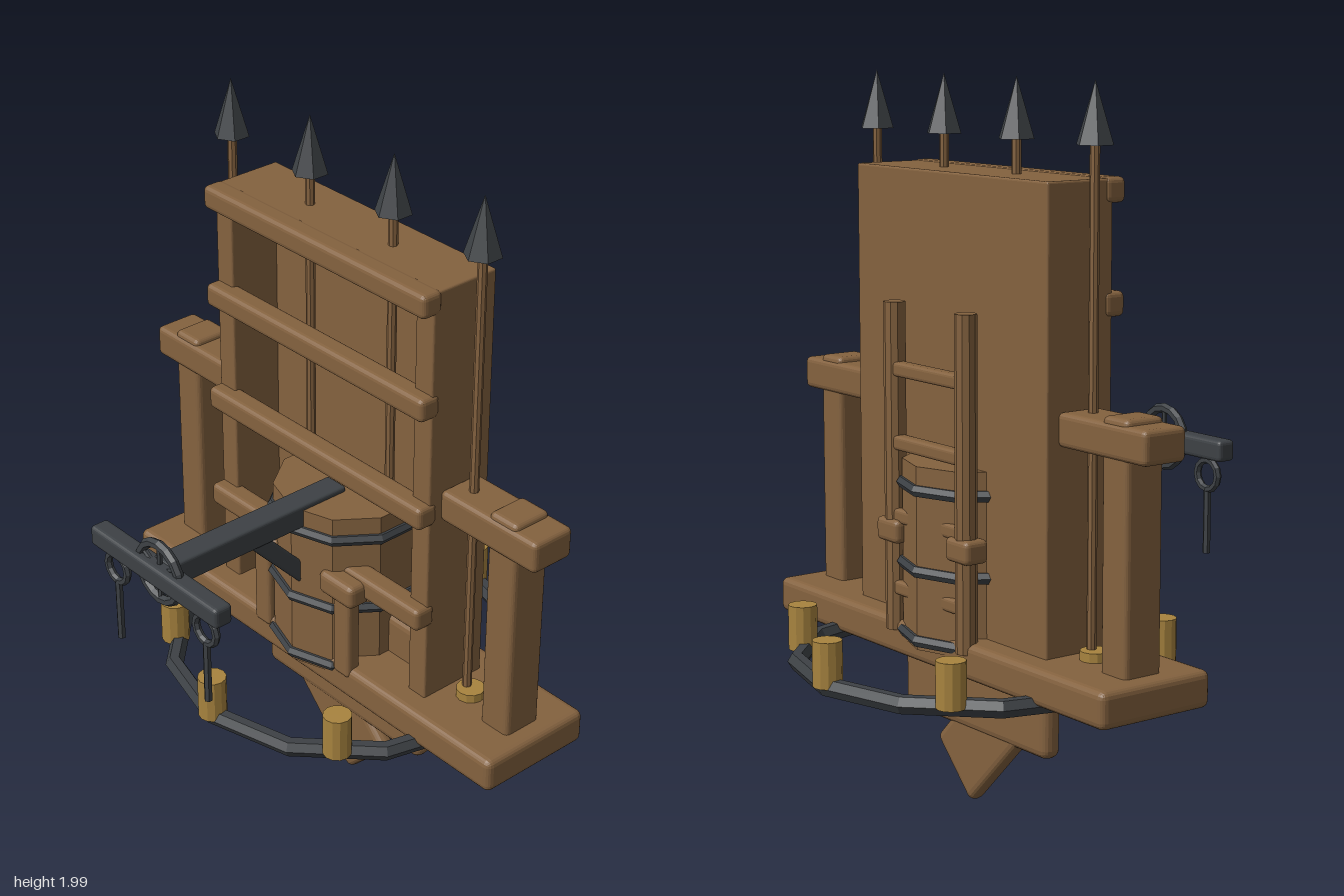
import * as THREE from 'three';
import { RoundedBoxGeometry } from 'three/addons/geometries/RoundedBoxGeometry.js';

export function createModel() {
  const model = new THREE.Group();
  model.name = 'siegeTower';
  const wood = new THREE.MeshStandardMaterial({ color: 0x84623f, flatShading: true });
  const iron = new THREE.MeshStandardMaterial({ color: 0x3d4145, flatShading: true });
  const brass = new THREE.MeshStandardMaterial({ color: 0xa8843f, flatShading: true });
  const Z = -0.075; // depth of the tower's middle plane

  function add(name, geometry, material, x, y, z) {
    const mesh = new THREE.Mesh(geometry, material);
    mesh.name = name;
    mesh.position.set(x, y, z);
    model.add(mesh);
    return mesh;
  }
  // Bevelled box given by its extents on each axis
  function box(name, [x0, x1], [y0, y1], [z0, z1], material = wood, bevel = 0.012) {
    const g = new RoundedBoxGeometry(x1 - x0, y1 - y0, z1 - z0, 2, bevel);
    return add(name, g, material, (x0 + x1) / 2, (y0 + y1) / 2, (z0 + z1) / 2);
  }
  function rod(name, r, y0, y1, x, z, sides, material) {
    return add(name, new THREE.CylinderGeometry(r, r, y1 - y0, sides), material, x, (y0 + y1) / 2, z);
  }

  // Base, keel and angled rudder
  box('base', [-0.745, 0.745], [0.43, 0.53], [-0.255, 0.1], wood, 0.02);
  box('keel', [-0.325, 0.325], [0.215, 0.65], [-0.105, -0.045], wood, 0.025);
  const rudder = box('rudder', [-0.125, 0.097], [0.035, 0.365], [-0.1, -0.05], wood, 0.022);
  rudder.rotation.z = Math.PI / 4;
  const boss = rod('keelBoss', 0.04, 0.405, 0.435, 0, -0.03, 10, brass);
  boss.rotation.x = Math.PI / 2;

  // Tall recessed shield
  box('shieldBack', [-0.425, 0.425], [0.5, 1.75], [-0.18, -0.125], wood, 0.006);
  box('shieldTop', [-0.425, 0.425], [1.69, 1.75], [-0.18, 0.03], wood, 0.006);
  for (const y of [0.795, 1.11, 1.43, 1.72]) {
    box('shieldSlat', [-0.43, 0.43], [y - 0.033, y + 0.033], [0.005, 0.07], wood, 0.015);
  }

  for (const s of [-1, 1]) {
    const span = (a, b) => (s > 0 ? [a, b] : [-b, -a]);
    box('shieldSide', span(0.36, 0.425), [0.5, 1.75], [-0.18, 0.03], wood, 0.006);

    // Side railing
    box('railPost', span(0.59, 0.69), [0.5, 1.185], [-0.138, -0.018], wood, 0.015);
    box('railBeam', span(0.42, 0.765), [1.08, 1.17], [-0.145, -0.01], wood, 0.015);

    // Barrel brackets, front and back
    box('bracketPost', span(0.135, 0.2), [0.5, 0.77], [0.06, 0.105]);
    box('bracketCap', span(0.09, 0.225), [0.745, 0.815], [0.045, 0.12], wood, 0.018);
    box('ladderClamp', span(0.11, 0.21), [0.745, 0.81], [-0.275, -0.2], wood, 0.015);
    rod('ladderRail', 0.03, 0.5, 1.4, 0.162 * s, -0.24, 10, wood);

    // Spears
    for (const x of [0.16, 0.48]) {
      rod('spearShaft', 0.013, 0.5, 1.86, x * s, Z, 8, wood);
      add('spearHead', new THREE.ConeGeometry(0.05, 0.16, 6), iron, x * s, 1.92, Z);
    }

    // Hanging rings and rods on the crossbar
    add('hangingRing', new THREE.TorusGeometry(0.042, 0.011, 6, 12), iron, 0.187 * s, 0.885, 0.577);
    rod('hangingRod', 0.011, 0.66, 0.845, 0.187 * s, 0.577, 6, iron);
  }

  // Ladder rungs
  for (const y of [0.62, 0.82, 1.02, 1.22]) {
    box('ladderRung', [-0.16, 0.16], [y - 0.02, y + 0.02], [-0.26, -0.22], wood, 0.01);
  }

  // Barrel with iron bands
  rod('barrel', 0.21, 0.48, 0.98, 0, Z, 10, wood);
  for (const y of [0.505, 0.695, 0.915]) {
    const band = add('barrelBand', new THREE.TorusGeometry(0.209, 0.017, 6, 10), iron, 0, y, Z);
    band.rotation.set(Math.PI / 2, 0, Math.PI / 2);
  }

  // Iron arm with brace, crossbar and wheel
  box('arm', [-0.037, 0.037], [0.925, 0.995], [-0.03, 0.57], iron, 0.008);
  const brace = box('armBrace', [-0.028, 0.028], [0.825, 0.875], [0.065, 0.315], iron, 0.008);
  brace.rotation.x = -0.82;
  box('crossbar', [-0.265, 0.265], [0.932, 0.992], [0.55, 0.607], iron, 0.012);
  add('wheel', new THREE.TorusGeometry(0.083, 0.014, 6, 16), iron, 0, 0.965, 0.577);
  for (let i = 0; i < 3; i++) {
    const spoke = rod('wheelSpoke', 0.008, 0.885, 1.045, 0, 0.577, 6, iron);
    spoke.rotation.z = (i * Math.PI) / 3;
  }

  // Iron ring carrying eight brass cups
  const hoop = add('hoop', new THREE.TorusGeometry(0.5, 0.026, 6, 12), iron, 0, 0.43, Z);
  hoop.rotation.set(Math.PI / 2, 0, Math.PI / 2);
  for (let i = 0; i < 8; i++) {
    const a = (i * Math.PI) / 4;
    rod('cup', 0.04, 0.43, 0.555, 0.495 * Math.cos(a), Z + 0.495 * Math.sin(a), 12, brass);
  }
  return model;
}
